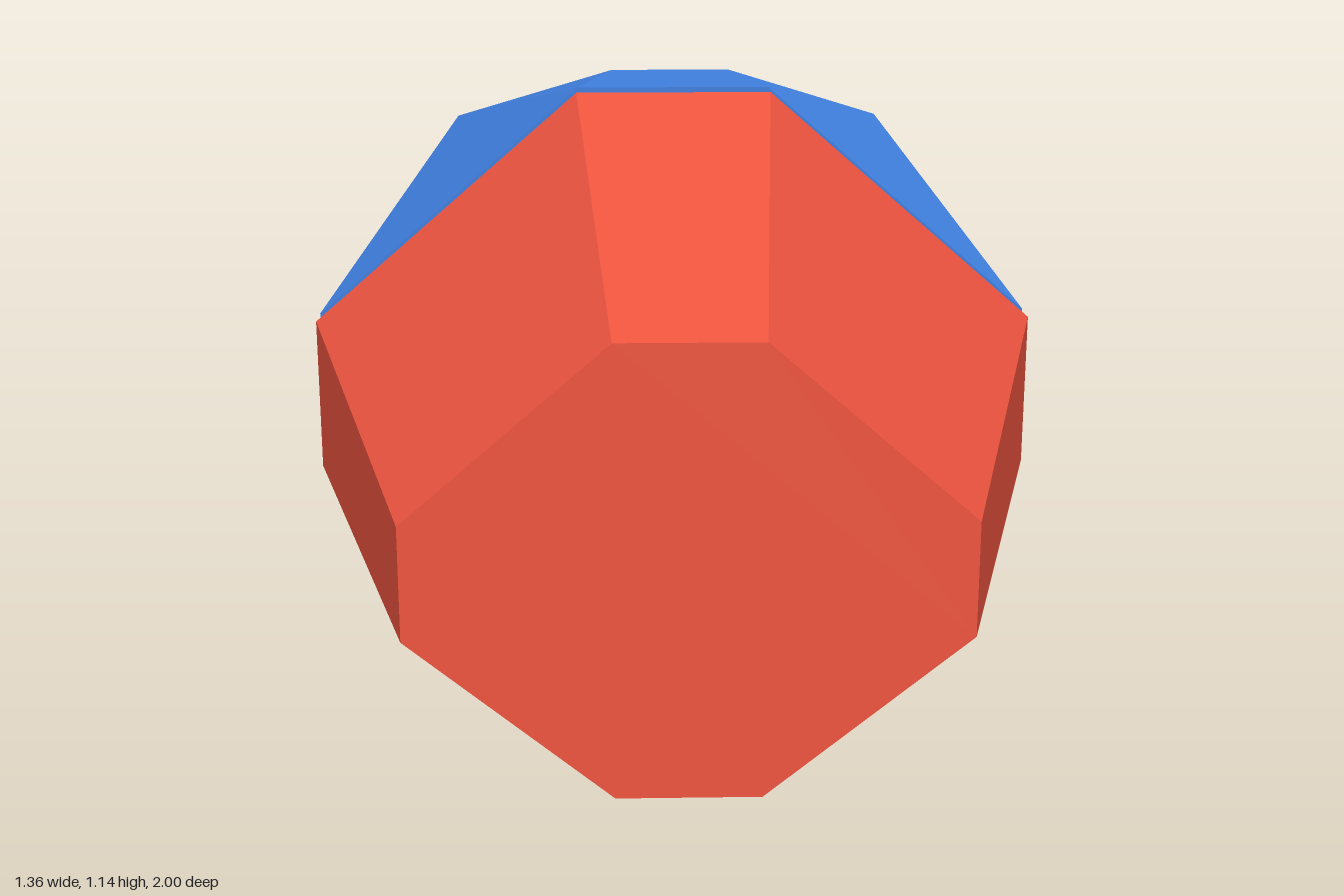
import * as THREE from 'three';

const MID = 0.565; // height of the long axis

// Flat-shaded mesh from polygons; triangles are turned away from (or towards) a centre point
function facetMesh(name, material, centre, outer, inner = []) {
  const pos = [];
  const add = (poly, sign) => {
    for (let i = 1; i < poly.length - 1; i++) {
      const [a, b, c] = [poly[0], poly[i], poly[i + 1]].map(p => new THREE.Vector3(...p));
      const n = b.clone().sub(a).cross(c.clone().sub(a));
      const out = a.clone().add(b).add(c).divideScalar(3).sub(centre);
      const tri = n.dot(out) * sign < 0 ? [a, c, b] : [a, b, c];
      tri.forEach(v => pos.push(v.x, v.y, v.z));
    }
  };
  outer.forEach(p => add(p, 1));
  inner.forEach(p => add(p, -1));
  const g = new THREE.BufferGeometry();
  g.setAttribute('position', new THREE.Float32BufferAttribute(pos, 3));
  g.computeVertexNormals();
  const mesh = new THREE.Mesh(g, material);
  mesh.name = name;
  return mesh;
}

// Octagon ring: wide flat sides at +-w, narrow flats at top and bottom
function octagon(w, lo, hi, n, bottom, top, z) {
  return [[w, lo], [w, hi], [n, top], [-n, top], [-w, hi], [-w, lo], [-n, bottom], [n, bottom]]
    .map(([x, y]) => [x, y, z]);
}

const bridge = (a, b) => a.map((p, i) => {
  const j = (i + 1) % a.length;
  return [p, a[j], b[j], b[i]];
});

const square = (h, z) => [[h, h], [-h, h], [-h, -h], [h, -h]].map(([x, y]) => [x, MID + y, z]);

export function createModel() {
  const model = new THREE.Group();
  const paint = (color, extra = {}) => new THREE.MeshStandardMaterial({ color, ...extra });
  const red = paint(0xf05540, { flatShading: true });
  const blue = paint(0x4080e0, { flatShading: true });
  const yellow = paint(0xdcf510, { side: THREE.DoubleSide });
  const brown = paint(0x5c2a0e);

  // Tapered octagonal nose
  const noseBack = octagon(0.68, 0.42, 0.71, 0.18, 0, 1.145, 0.06);
  const noseFront = octagon(0.44, 0.457, 0.645, 0.115, 0.19, 0.928, 1);
  model.add(facetMesh('nose', red, new THREE.Vector3(0, MID, 0.5),
    [noseFront, noseBack, ...bridge(noseBack, noseFront)]));

  // Housing: octagon at the front narrowing to a square at the back
  const faces = [octagon(0.68, 0.42, 0.71, 0.18, 0, 1.145, 0)];
  const H = 0.4425;
  for (const s of [1, -1]) {
    const top = s > 0 ? 1.145 : 0;
    const A = x => [x * 0.18, top, 0];
    const B = x => [x * 0.115, top, -0.22];
    const C = x => [x * 0.44, MID + s * H, -0.5];
    const D = x => [x * 0.68, s > 0 ? 0.71 : 0.42, 0];
    faces.push([A(1), A(-1), B(-1), B(1)], [B(1), B(-1), C(-1), C(1)]);
    // Corner facets are folded along alternating diagonals
    faces.push([B(s), C(s), D(s), A(s)], [A(-s), B(-s), C(-s), D(-s)]);
    // Side panel
    faces.push([[s * 0.68, 0.42, 0], [s * 0.68, 0.71, 0],
      [s * 0.44, MID + H, -0.5], [s * 0.44, MID - H, -0.5]]);
  }
  // Square recess in the back
  const rim = square(0.36, -0.5), floor = square(0.36, -0.25);
  faces.push(...bridge(square(H, -0.5), rim), floor);
  model.add(facetMesh('housing', blue, new THREE.Vector3(0, MID, -0.2), faces, bridge(rim, floor)));

  // Ten-sided collar, flaring inside the recess, with a softened lip
  const profile = [[0.42, 0.3], [0.35, 0.5], [0.312, 0.6], [0.306, 0.61], [0.278, 0.61], [0.272, 0.6], [0.31, 0.3]]
    .map(([r, h]) => new THREE.Vector2(r, h));
  const collar = new THREE.Mesh(new THREE.LatheGeometry(profile, 10).rotateX(-Math.PI / 2), yellow);
  collar.name = 'collar';
  collar.position.y = MID;
  model.add(collar);

  // Ten-sided tapered stem
  const stem = new THREE.Mesh(new THREE.CylinderGeometry(0.205, 0.295, 0.7, 10).rotateX(-Math.PI / 2), brown);
  stem.name = 'stem';
  stem.position.set(0, MID, -0.65);
  model.add(stem);

  return model;
}
